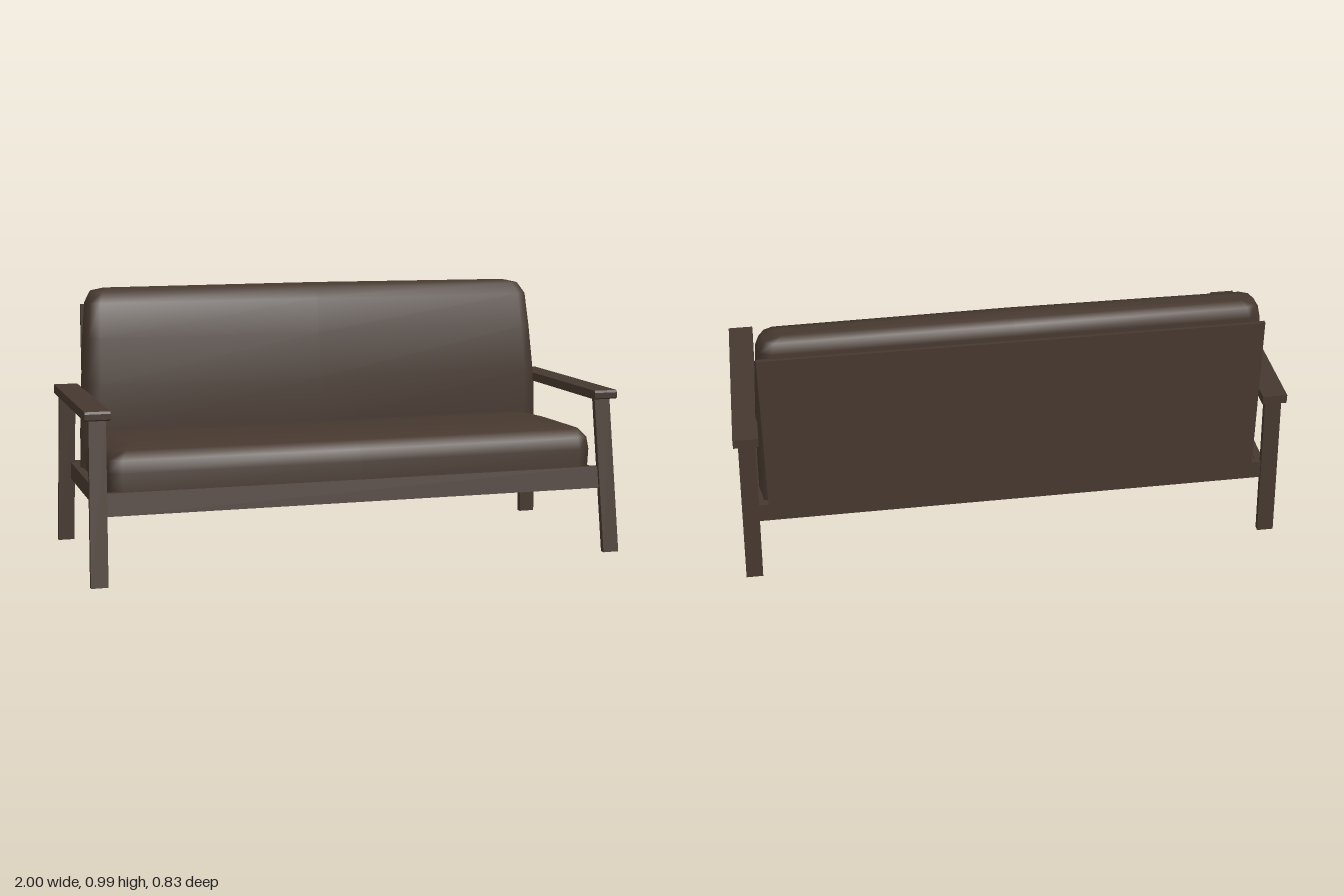
import * as THREE from 'three';

const brown = new THREE.MeshStandardMaterial({ color: 0x46382f });
brown.name = 'dark brown';

function add(group, name, geometry) {
  const mesh = new THREE.Mesh(geometry, brown);
  mesh.name = name;
  group.add(mesh);
  return mesh;
}

// Axis-aligned box from its limits
function block(x0, x1, y0, y1, z0, z1) {
  return new THREE.BoxGeometry(x1 - x0, y1 - y0, z1 - z0)
    .translate((x0 + x1) / 2, (y0 + y1) / 2, (z0 + z1) / 2);
}

// Box whose upper end is shifted sideways by (dx, dz)
function leaning(x0, x1, y0, y1, z0, z1, dx, dz) {
  const g = block(x0, x1, y0, y1, z0, z1);
  const p = g.attributes.position;
  for (let i = 0; i < p.count; i++) {
    const t = (p.getY(i) - y0) / (y1 - y0);
    p.setX(i, p.getX(i) + dx * t);
    p.setZ(i, p.getZ(i) + dz * t);
  }
  g.computeVertexNormals();
  return g;
}

// Padded cushion lofted upwards through levels of [y, halfWidth, zFront, zBack, corner]
function cushion(levels, topY, slope) {
  const pos = [], idx = [];
  let n = 0;
  for (const [y, x, zf, zb, c] of levels) {
    const zm = (zf + zb) / 2, e = 0.01;
    const half = [[x - c, zf - e], [x - c * 0.25, zf - e - c * 0.4], [x, zm],
      [x - c * 0.25, zb + c * 0.4], [x - c, zb]];
    const ring = [...half, [0, zb], ...half.map(([a, b]) => [-a, b]).reverse(), [0, zf]];
    n = ring.length;
    for (const [px, pz] of ring) pos.push(px, y + slope * pz, pz);
  }
  for (let i = 0; i < levels.length - 1; i++) {
    for (let j = 0; j < n; j++) {
      const a = i * n + j, b = i * n + (j + 1) % n;
      idx.push(a, b, b + n, a, b + n, a + n);
    }
  }
  // Crown closing the top
  const last = levels.length - 1, top = pos.length / 3;
  const zc = (levels[last][2] + levels[last][3]) / 2;
  pos.push(0, topY + slope * zc, zc);
  for (let j = 0; j < n; j++) idx.push(top, last * n + j, last * n + (j + 1) % n);
  const g = new THREE.BufferGeometry();
  g.setAttribute('position', new THREE.Float32BufferAttribute(pos, 3));
  g.setIndex(idx);
  g.computeVertexNormals();
  return g;
}

// Armrest with softly chamfered ends
function armrest(x0, x1) {
  const s = new THREE.Shape([
    [-0.368, 0.58], [-0.36, 0.575], [0.41, 0.575], [0.41, 0.608], [-0.362, 0.608], [-0.368, 0.6],
  ].map(([a, b]) => new THREE.Vector2(a, b)));
  return new THREE.ExtrudeGeometry(s, { depth: x1 - x0, bevelEnabled: false })
    .rotateY(Math.PI / 2).translate(x0, 0, 0);
}

export function createModel() {
  const sofa = new THREE.Group();
  sofa.name = 'sofa';

  // Cushions
  add(sofa, 'seatCushion', cushion([
    [0.298, 0.925, 0.345, -0.24, 0.06],
    [0.37, 0.93, 0.343, -0.245, 0.06],
    [0.415, 0.925, 0.333, -0.222, 0.06],
    [0.445, 0.905, 0.295, -0.2, 0.06],
    [0.464, 0.85, 0.2, -0.17, 0.05],
  ], 0.468, 0.035));
  add(sofa, 'backCushion', cushion([
    [0.3, 0.925, -0.172, -0.375, 0.06],
    [0.45, 0.922, -0.169, -0.379, 0.06],
    [0.63, 0.915, -0.165, -0.382, 0.06],
    [0.8, 0.905, -0.194, -0.384, 0.055],
    [0.93, 0.893, -0.217, -0.385, 0.05],
    [0.97, 0.87, -0.25, -0.376, 0.04],
    [0.981, 0.82, -0.28, -0.345, 0.02],
  ], 0.987, 0));

  // Seat frame and back board
  add(sofa, 'seatBase', block(-0.925, 0.925, 0.25, 0.3, -0.385, 0.355));
  add(sofa, 'frontRail', leaning(-0.935, 0.935, 0.24, 0.32, 0.35, 0.372, 0, -0.012));
  add(sofa, 'backRail', block(-0.935, 0.935, 0.24, 0.31, -0.397, -0.375));
  add(sofa, 'backBoard', block(-0.895, 0.895, 0.3, 0.915, -0.397, -0.382));

  // Both sides: legs, side rail and armrest
  for (const [s, side] of [[1, 'left'], [-1, 'right']]) {
    const span = (a, b) => (s > 0 ? [a, b] : [-b, -a]);
    const [l0, l1] = span(0.937, 0.998);
    add(sofa, side + 'FrontLeg', leaning(l0, l1, 0, 0.58, 0.393, 0.415, -0.015 * s, -0.077));
    add(sofa, side + 'BackLeg', leaning(l0, l1, 0, 0.58, -0.413, -0.39, -0.015 * s, 0.013));
    add(sofa, side + 'SideRail', block(...span(0.915, 0.945), 0.24, 0.305, -0.39, 0.36));
    add(sofa, side + 'Armrest', armrest(...span(0.91, 1)));
  }
  return sofa;
}
